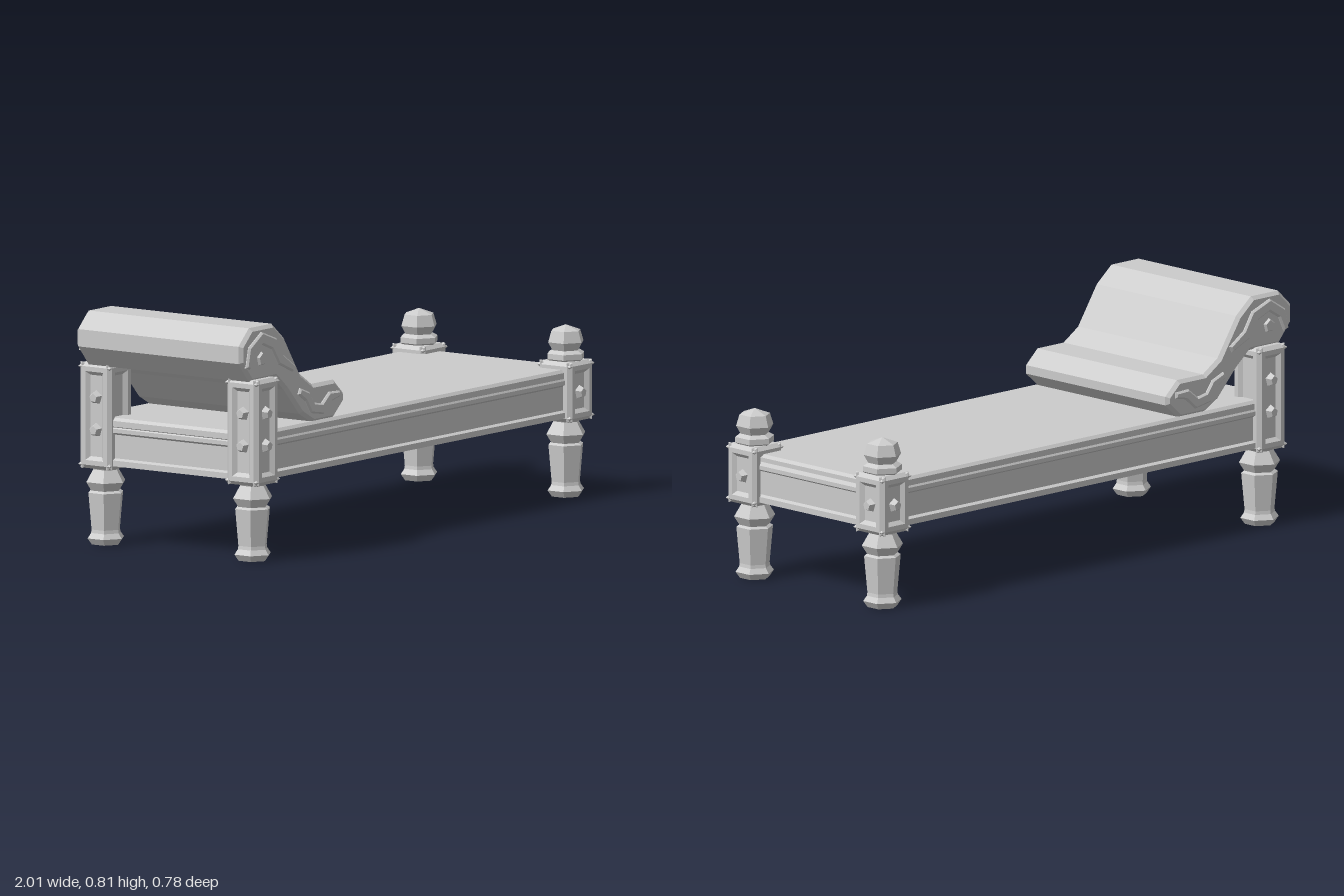
import * as THREE from 'three';

const mat = new THREE.MeshStandardMaterial({ color: 0xcccccc, flatShading: true });

function add(parent, name, geometry, x = 0, y = 0, z = 0) {
  const g = geometry.index ? geometry.toNonIndexed() : geometry;
  g.computeVertexNormals();
  const mesh = new THREE.Mesh(g, mat);
  mesh.name = name;
  mesh.position.set(x, y, z);
  parent.add(mesh);
  return mesh;
}

const polygon = (pts) => new THREE.Shape(pts.map(([x, y]) => new THREE.Vector2(x, y)));
const rect = (w, h) => [[-w / 2, -h / 2], [w / 2, -h / 2], [w / 2, h / 2], [-w / 2, h / 2]];

// Extrusion centred on z, with its edges chamfered inside the outline
function slab(shape, thickness, chamfer) {
  const depth = thickness - 2 * chamfer;
  const g = new THREE.ExtrudeGeometry(shape, {
    depth, bevelEnabled: chamfer > 0, bevelThickness: chamfer,
    bevelSize: chamfer, bevelOffset: -chamfer, bevelSegments: 1,
  });
  return g.translate(0, 0, -depth / 2);
}

// Six-sided turned piece
const turned = (profile) =>
  new THREE.LatheGeometry(profile.map(([r, y]) => new THREE.Vector2(r, y)), 6);

// Five-sided stud facing +z
const stud = (r) => new THREE.CylinderGeometry(r * 0.6, r, 0.022, 5, 1, false, Math.PI).rotateX(Math.PI / 2);

// Chamfered square block with a sunk panel on each side and studs on the outer ones
function postBlock(w, y0, y1, studHeights, outward) {
  const block = new THREE.Group();
  block.name = 'postBlock';
  const c = 0.013, t = 2 * c + 0.002, h = y1 - y0, mid = (y0 + y1) / 2;
  add(block, 'postCore', new THREE.BoxGeometry(w - 2 * c, h - 2 * c, w - 2 * c), 0, mid, 0);
  for (let i = 0; i < 4; i++) {
    const side = new THREE.Group();
    side.name = 'postSide';
    side.rotation.y = i * Math.PI / 2;
    const frame = polygon(rect(w, h));
    frame.holes.push(new THREE.Path(polygon(rect(w - 0.085, h - 0.085)).getPoints().reverse()));
    add(side, 'panelFrame', slab(frame, t, c), 0, mid, w / 2 - t / 2);
    if (outward.includes(i)) {
      for (const y of studHeights) add(side, 'stud', stud(0.026), 0, y, w / 2 - c + 0.009);
    }
    block.add(side);
  }
  const cap = slab(polygon(rect(w, w)), t, c).rotateX(Math.PI / 2);
  add(block, 'postTop', cap, 0, y1 - t / 2, 0);
  add(block, 'postBottom', cap.clone(), 0, y0 + t / 2, 0);
  return block;
}

const legProfile = [
  [0, 0], [0.052, 0], [0.068, 0.022], [0.055, 0.04], [0.053, 0.052], [0.065, 0.18],
  [0.054, 0.187], [0.073, 0.217], [0.047, 0.26], [0.055, 0.275], [0, 0.275],
];
const finialProfile = [
  [0, 0.465], [0.05, 0.465], [0.069, 0.477], [0.069, 0.496], [0.05, 0.507],
  [0.066, 0.535], [0.054, 0.574], [0, 0.594],
];

// Moulded rail: profile is (outward, y), run along the length
function rail(length) {
  const profile = polygon([
    [0, 0.28], [0, 0.3], [-0.014, 0.306], [-0.014, 0.388], [0, 0.396], [0, 0.41],
    [-0.008, 0.422], [-0.07, 0.422], [-0.07, 0.31], [-0.045, 0.28],
  ].reverse());
  return slab(profile, length, 0);
}

// Outline of a carved ribbon from centre points with half widths
function ribbon(pts) {
  const left = [], right = [];
  pts.forEach(([x, y, r], i) => {
    const a = pts[Math.max(i - 1, 0)], b = pts[Math.min(i + 1, pts.length - 1)];
    const dx = b[0] - a[0], dy = b[1] - a[1], l = Math.hypot(dx, dy);
    left.push([x - dy / l * r, y + dx / l * r]);
    right.unshift([x + dy / l * r, y - dx / l * r]);
  });
  return polygon([...left, ...right]);
}

export function createModel() {
  const bed = new THREE.Group();
  bed.name = 'dayBed';

  // Posts and legs
  for (const s of [1, -1]) {
    const zSide = s > 0 ? 0 : 2;
    const foot = new THREE.Group();
    foot.name = 'footPost';
    foot.position.set(0.93, 0, 0.312 * s);
    foot.add(postBlock(0.14, 0.265, 0.472, [0.364], [zSide, 1]));
    add(foot, 'leg', turned(legProfile));
    add(foot, 'finial', turned(finialProfile));

    const head = new THREE.Group();
    head.name = 'headPost';
    head.position.set(-0.88, 0, 0.312 * s);
    head.add(postBlock(0.134, 0.265, 0.632, [0.4, 0.513], [zSide, 3]));
    add(head, 'leg', turned(legProfile));
    bed.add(foot, head);
  }

  // Rails
  for (const s of [1, -1]) {
    const side = add(bed, 'sideRail', rail(1.81), 0.025, 0, 0.36 * s);
    side.rotation.y = -s * Math.PI / 2;
  }
  add(bed, 'footRail', rail(0.62), 0.975, 0, 0);
  add(bed, 'headRail', rail(0.62), -0.93, 0, 0).rotation.y = Math.PI;

  // Bed base and mattress
  add(bed, 'base', new THREE.BoxGeometry(1.8, 0.1, 0.62), 0.02, 0.366, 0);
  add(bed, 'mattress', slab(polygon(rect(1.895, 0.712)), 0.04, 0.01).rotateX(Math.PI / 2), 0.018, 0.427, 0);

  // Sloping headrest
  const headrest = new THREE.Group();
  headrest.name = 'headrest';
  const outline = [
    [-0.94, 0.812], [-1, 0.755], [-1, 0.695], [-0.94, 0.625], [-0.8, 0.625], [-0.74, 0.575],
    [-0.65, 0.48], [-0.58, 0.442], [-0.46, 0.442], [-0.4, 0.495], [-0.4, 0.525],
    [-0.455, 0.575], [-0.58, 0.575], [-0.65, 0.62], [-0.74, 0.755], [-0.81, 0.812],
  ];
  add(headrest, 'headrestCushion', slab(polygon(outline), 0.676, 0.005));
  add(headrest, 'headrestSides', slab(polygon(outline), 0.704, 0.012));

  // Carved scrolls and stud on both ends
  const upperScroll = [
    [-0.965, 0.675, 0.012], [-0.945, 0.735, 0.02], [-0.885, 0.772, 0.022],
    [-0.815, 0.745, 0.022], [-0.775, 0.685, 0.02], [-0.7, 0.645, 0.012],
  ];
  const lowerScroll = [
    [-0.67, 0.562, 0.012], [-0.622, 0.538, 0.018], [-0.592, 0.495, 0.02],
    [-0.535, 0.485, 0.02], [-0.49, 0.522, 0.018], [-0.435, 0.526, 0.01],
  ];
  for (const s of [1, -1]) {
    add(headrest, 'upperScroll', slab(ribbon(upperScroll), 0.02, 0.006), 0, 0, 0.351 * s);
    add(headrest, 'lowerScroll', slab(ribbon(lowerScroll), 0.02, 0.006), 0, 0, 0.351 * s);
    const boss = add(headrest, 'scrollStud', stud(0.034), -0.885, 0.7, 0.35 * s);
    if (s < 0) boss.rotation.y = Math.PI;
  }
  bed.add(headrest);
  return bed;
}
